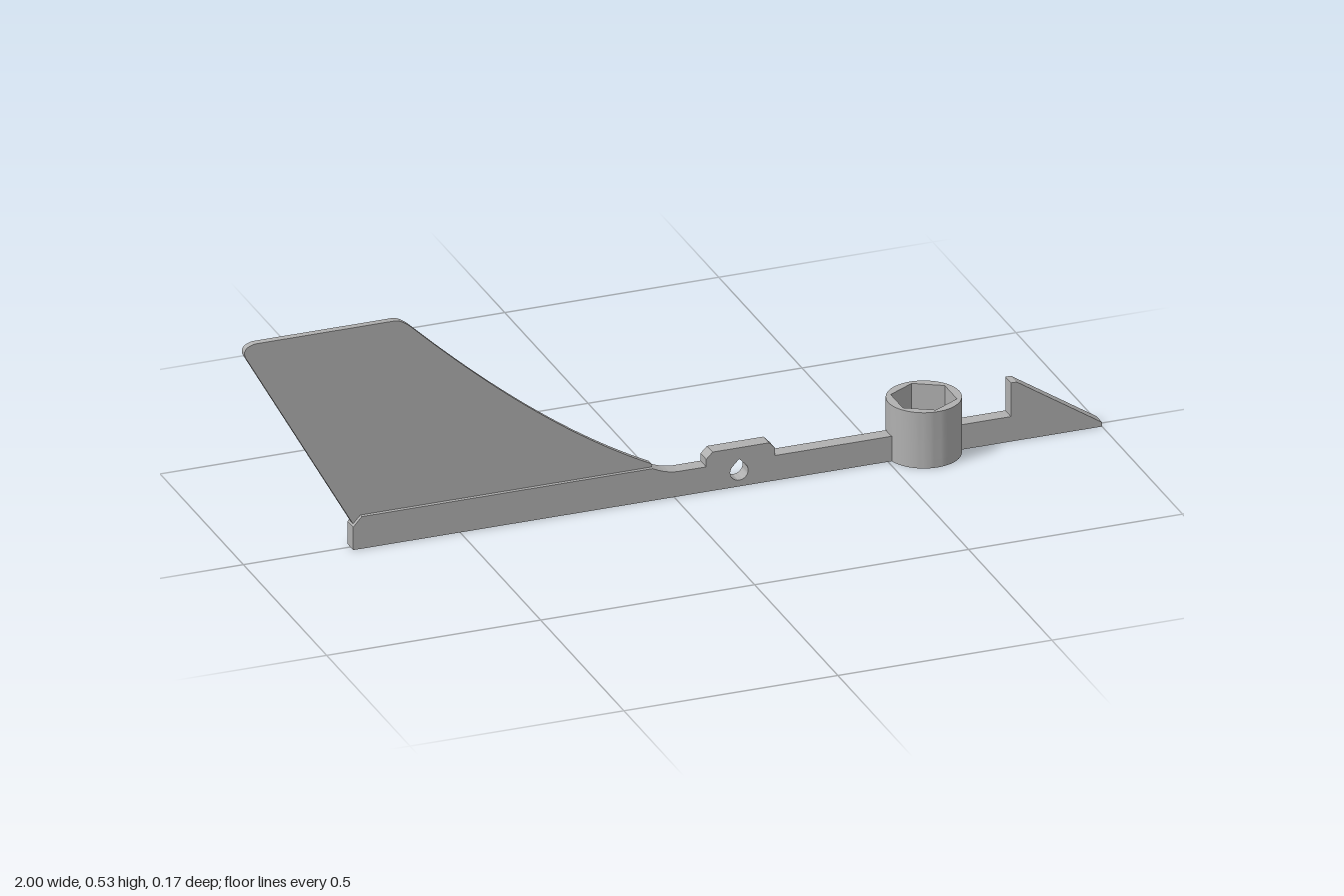
import * as THREE from 'three';
import { toCreasedNormals } from 'three/addons/utils/BufferGeometryUtils.js';

const BEAM_DEPTH = 0.034, FIN_DEPTH = 0.016;
const CUP_X = 0.59, CUP_RADIUS = 0.083, CUP_HEIGHT = 0.134, CUP_FLOOR = 0.02;

const polygon = (points) => new THREE.Shape(points.map(([x, y]) => new THREE.Vector2(x, y)));

export function createModel() {
  const grey = new THREE.MeshStandardMaterial({ color: 0xb0b0b0 });
  grey.name = 'plain grey';
  const group = new THREE.Group();
  group.name = 'windVane';

  function add(name, geometry) {
    const mesh = new THREE.Mesh(toCreasedNormals(geometry, 0.5), grey);
    mesh.name = name;
    group.add(mesh);
    return mesh;
  }

  // Extrudes a profile in the xy plane, centred on z = 0
  function plate(name, shape, depth) {
    const geometry = new THREE.ExtrudeGeometry(shape, { depth, bevelEnabled: false, curveSegments: 24 });
    geometry.translate(0, 0, -depth / 2);
    return add(name, geometry);
  }

  // Rear beam: fin rail, flowing curve, and pivot boss
  const beam = new THREE.Shape();
  beam.moveTo(-0.75, 0);
  beam.lineTo(CUP_X - 0.072, 0);
  beam.lineTo(CUP_X - 0.072, 0.06);
  beam.lineTo(0.236, 0.06);
  beam.lineTo(0.236, 0.078);
  beam.lineTo(0.222, 0.093);
  beam.lineTo(0.09, 0.093);
  beam.lineTo(0.075, 0.078);
  beam.lineTo(0.075, 0.06);
  beam.lineTo(0.01, 0.06);
  beam.quadraticCurveTo(-0.02, 0.061, -0.05, 0.077);
  beam.lineTo(-0.73, 0.077);
  beam.lineTo(-0.75, 0.055);
  beam.closePath();

  // Teardrop hole through the boss
  const hole = new THREE.Path();
  hole.absarc(0.152, 0.036, 0.021, Math.PI * 0.8, Math.PI * 2.2, false);
  hole.lineTo(0.152, 0.066);
  hole.closePath();
  beam.holes.push(hole);
  plate('rearBeam', beam, BEAM_DEPTH);

  // Front beam with the barbed arrow tip
  plate('arrowTip', polygon([
    [CUP_X + 0.072, 0], [1, 0], [1, 0.01], [0.8, 0.141],
    [0.787, 0.141], [0.787, 0.06], [CUP_X + 0.072, 0.06],
  ]), BEAM_DEPTH);

  // Thin swept tail fin with rounded upper corners
  const fin = new THREE.Shape();
  fin.moveTo(-0.745, 0.055);
  fin.lineTo(-0.05, 0.055);
  fin.lineTo(-0.05, 0.085);
  fin.quadraticCurveTo(-0.3, 0.21, -0.61, 0.508);
  fin.quadraticCurveTo(-0.634, 0.53, -0.65, 0.53);
  fin.lineTo(-0.975, 0.53);
  fin.quadraticCurveTo(-1.008, 0.525, -0.998, 0.5);
  fin.closePath();
  plate('tailFin', fin, FIN_DEPTH);

  // Round cup with a hexagonal socket
  const ring = new THREE.Shape();
  ring.absarc(0, 0, CUP_RADIUS, 0, Math.PI * 2, false);
  const socket = Array.from({ length: 6 }, (_, i) => {
    const a = Math.PI / 2 - i * Math.PI / 3;
    return new THREE.Vector2(Math.cos(a) * 0.073, Math.sin(a) * 0.073);
  });
  ring.holes.push(new THREE.Path(socket));
  const wall = new THREE.ExtrudeGeometry(ring, {
    depth: CUP_HEIGHT - CUP_FLOOR, bevelEnabled: false, curveSegments: 32,
  });
  wall.rotateX(-Math.PI / 2);
  add('cupWall', wall).position.set(CUP_X, CUP_FLOOR, 0);

  const floor = new THREE.CylinderGeometry(CUP_RADIUS, CUP_RADIUS, CUP_FLOOR, 64);
  add('cupFloor', floor).position.set(CUP_X, CUP_FLOOR / 2, 0);

  return group;
}
